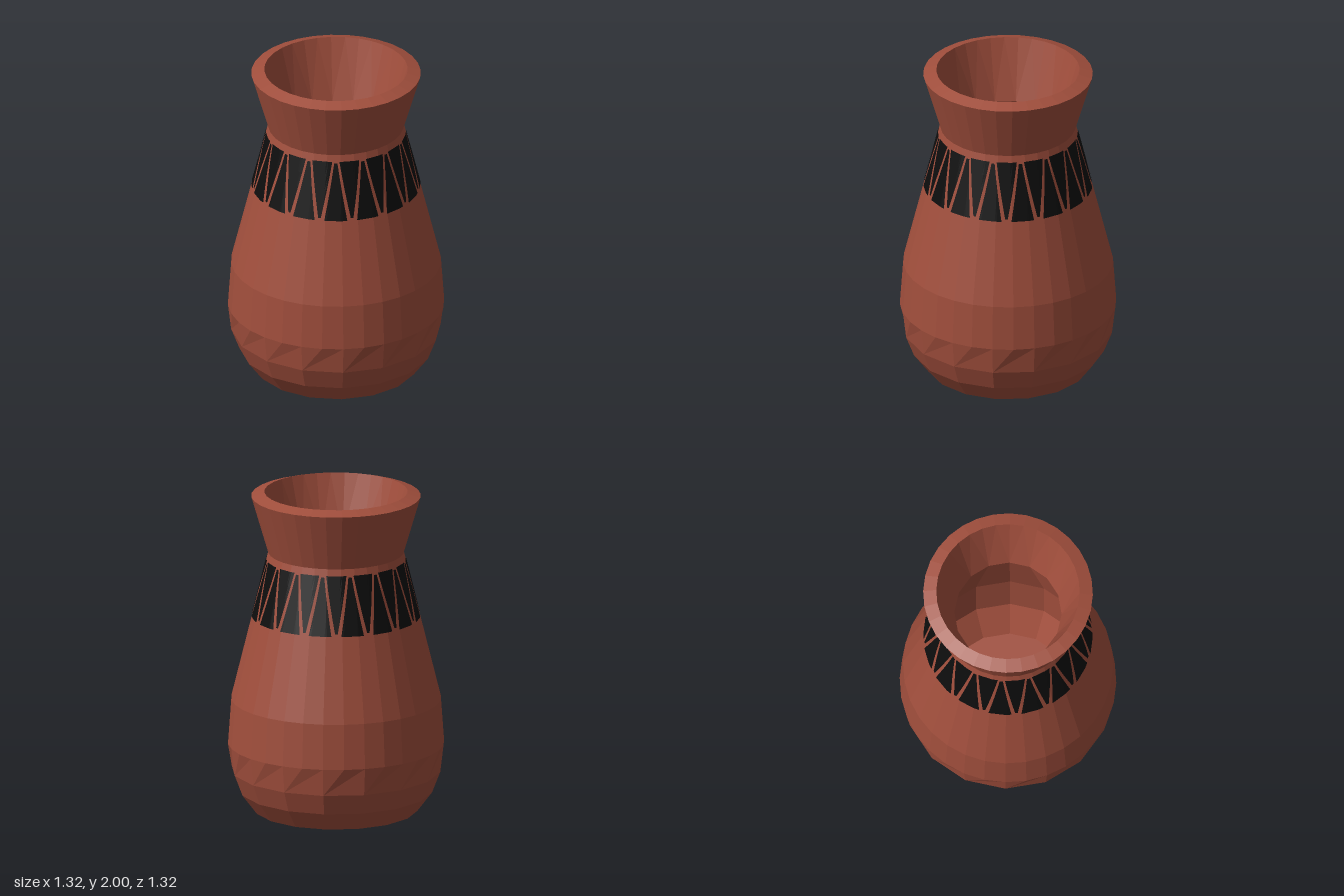
import * as THREE from 'three';

const SIDES = 32;
const STEP = (Math.PI * 2) / SIDES;

// Cross-sections from base centre, up the outside, over the rim and down inside.
// [radius, height, merge]: merge > 1 joins neighbouring corners into a coarser ring.
const PROFILE = [
  [0, 0, 1], [0.5, 0, 2], [0.59, 0.12, 2], [0.64, 0.25, 2], [0.66, 0.42, 1],
  [0.64, 0.7, 1], [0.413, 1.62, 1], [0.517, 1.975, 1], [0.437, 2, 1],
  [0.327, 1.62, 2], [0.54, 0.7, 2], [0.54, 0.3, 2], [0.42, 0.1, 2], [0, 0.1, 1],
];

const around = (r, y, a) => new THREE.Vector3(r * Math.sin(a), y, r * Math.cos(a));

// Builds flat-faced geometry from a grid of points, dropping collapsed triangles
function gridGeometry(cols, rows, pointAt) {
  const pts = [];
  const tri = new THREE.Triangle();
  const add = (a, b, c) => {
    tri.set(a, b, c);
    if (tri.getArea() > 1e-7) pts.push(a, b, c);
  };
  for (let i = 0; i < rows; i++) {
    for (let j = 0; j < cols; j++) {
      const a = pointAt(j, i), b = pointAt(j + 1, i);
      const c = pointAt(j + 1, i + 1), d = pointAt(j, i + 1);
      add(a, b, c);
      add(a, c, d);
    }
  }
  const geo = new THREE.BufferGeometry().setFromPoints(pts);
  geo.computeVertexNormals();
  return geo;
}

// Faceted outer wall between belly and neck
function wallPoint(angle, y, lift) {
  const r = THREE.MathUtils.mapLinear(y, 0.7, 1.62, 0.64, 0.413);
  const m = THREE.MathUtils.euclideanModulo(angle, STEP) - STEP / 2;
  return around((r * Math.cos(STEP / 2)) / Math.cos(m) + lift, y, angle);
}

// Thin painted wedge that follows the wall; half widths are angles
function wedge(centre, y0, half0, y1, half1) {
  const cols = 10, rows = 4;
  return gridGeometry(cols, rows, (j, i) => {
    const t = i / rows;
    const half = THREE.MathUtils.lerp(half0, half1, t);
    return wallPoint(centre + half * ((2 * j) / cols - 1), THREE.MathUtils.lerp(y0, y1, t), 0.004);
  });
}

export function createModel() {
  const clay = new THREE.MeshStandardMaterial({ color: 0xa04e3c });
  clay.name = 'terracotta';
  const paint = new THREE.MeshStandardMaterial({ color: 0x0d0d0d });
  paint.name = 'blackPaint';
  clay.flatShading = paint.flatShading = true;

  const vase = new THREE.Group();
  vase.name = 'vase';

  // Body, with rim and hollow inside
  const body = new THREE.Mesh(gridGeometry(SIDES, PROFILE.length - 1, (j, i) => {
    const [r, y, merge] = PROFILE[i];
    return around(r, y, Math.floor(j / merge) * merge * STEP);
  }), clay);
  body.name = 'body';
  vase.add(body);

  // Band of alternating upright and inverted wedges below the neck
  const band = new THREE.Group();
  band.name = 'paintedBand';
  const count = 16, period = (Math.PI * 2) / count;
  for (let k = 0; k < count; k++) {
    const a = k * period - 0.07;
    const upright = new THREE.Mesh(wedge(a, 1.22, period * 0.35, 1.57, period * 0.06), paint);
    upright.name = 'uprightWedge';
    const inverted = new THREE.Mesh(
      wedge(a + period / 2, 1.235, period * 0.04, 1.58, period * 0.37), paint);
    inverted.name = 'invertedWedge';
    band.add(upright, inverted);
  }
  vase.add(band);
  return vase;
}
